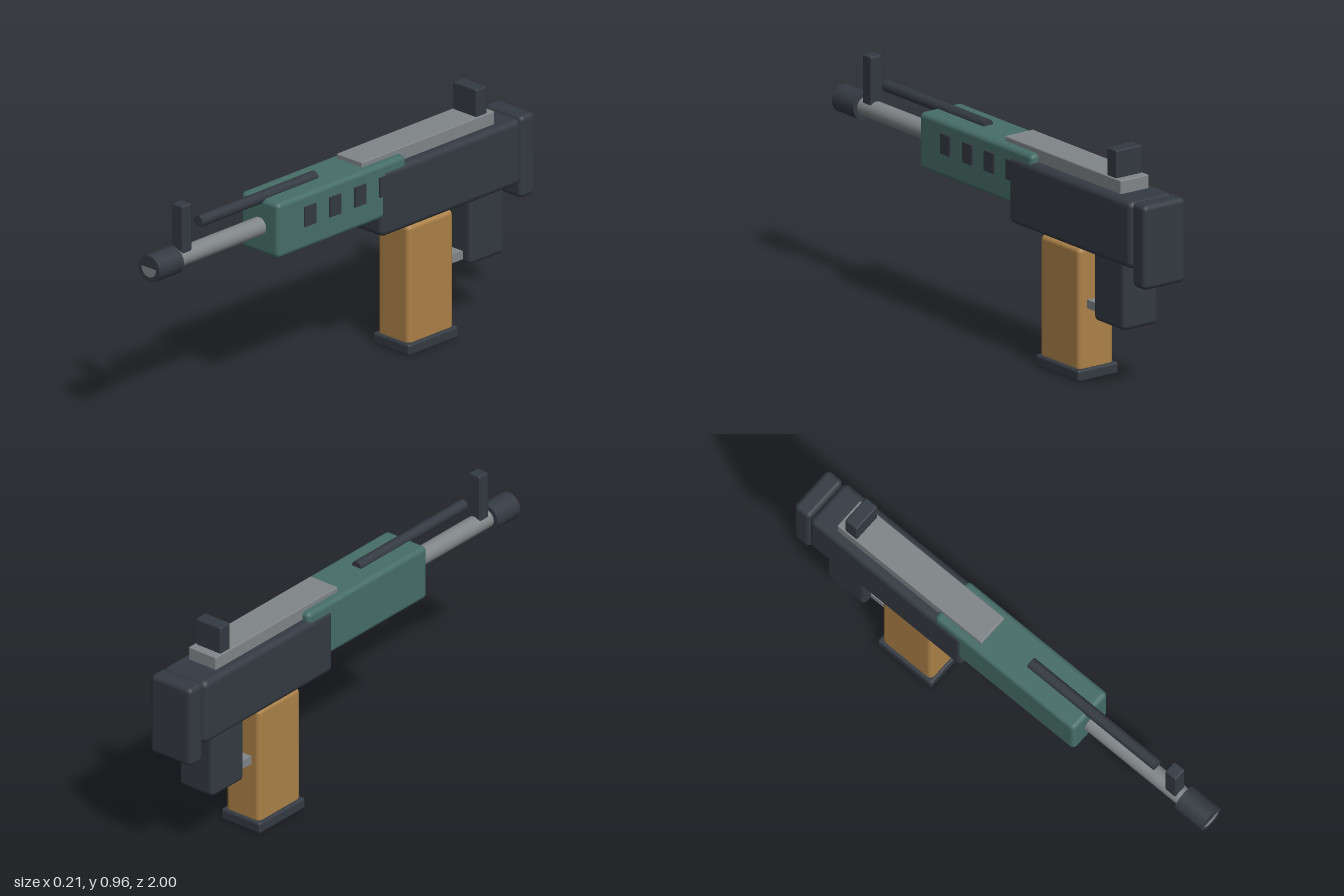
import * as THREE from 'three';
import { RoundedBoxGeometry } from 'three/addons/geometries/RoundedBoxGeometry.js';

function material(name, color) {
  const m = new THREE.MeshStandardMaterial({ color });
  m.name = name;
  return m;
}

export function createModel() {
  const group = new THREE.Group();
  group.name = 'toyRifle';
  const dark = material('charcoal', 0x343a42);
  const teal = material('teal', 0x466d67);
  const tan = material('tan', 0xac8148);
  const grey = material('steel grey', 0x808588);

  const add = (name, geometry, mat, x, y, z) => {
    const mesh = new THREE.Mesh(geometry, mat);
    mesh.name = name;
    mesh.position.set(x, y, z);
    group.add(mesh);
    return mesh;
  };

  // Block centred on x = 0, given by half width and y and z ranges
  const block = (name, mat, half, y0, y1, z0, z1, bevel = 0) => {
    const size = [half * 2, y1 - y0, z1 - z0];
    const geometry = bevel
      ? new RoundedBoxGeometry(...size, 2, bevel)
      : new THREE.BoxGeometry(...size);
    return add(name, geometry, mat, 0, (y0 + y1) / 2, (z0 + z1) / 2);
  };

  // Round bar along z
  const rod = (name, mat, radius, y, z0, z1, sides) => {
    const geometry = new THREE.CylinderGeometry(radius, radius, z1 - z0, sides);
    geometry.rotateX(Math.PI / 2);
    return add(name, geometry, mat, 0, y, (z0 + z1) / 2);
  };

  // Body
  block('receiver', dark, 0.106, 0.53, 0.797, -0.92, -0.16, 0.025);
  block('handguard', teal, 0.1, 0.605, 0.83, -0.3, 0.4, 0.02);
  block('buttPad', dark, 0.1, 0.465, 0.8, -1, -0.92, 0.02);
  block('topCover', grey, 0.067, 0.79, 0.85, -0.81, -0.09, 0.005);

  // Grip, magazine and the bar between them
  block('grip', dark, 0.084, 0.265, 0.56, -0.85, -0.66, 0.02);
  block('magazine', tan, 0.083, 0.03, 0.523, -0.573, -0.327, 0.02);
  block('magazineBase', dark, 0.096, 0, 0.047, -0.585, -0.315, 0.01);
  block('triggerBar', grey, 0.045, 0.283, 0.317, -0.68, -0.56);

  // Barrel group
  rod('barrel', grey, 0.037, 0.716, 0.35, 0.99, 20);
  rod('muzzle', dark, 0.055, 0.716, 0.865, 0.999, 20);
  add('bore', new THREE.CircleGeometry(0.039, 16, Math.PI, Math.PI), grey, 0, 0.722, 1);
  rod('gasRod', dark, 0.023, 0.831, 0.1, 0.73, 10);

  // Sights
  block('frontSight', dark, 0.027, 0.735, 0.932, 0.793, 0.845, 0.006);
  block('rearSight', dark, 0.061, 0.84, 0.96, -0.775, -0.717, 0.006);

  // Vents on the left side only
  for (let i = 0; i < 4; i++) {
    add('vent', new THREE.BoxGeometry(0.009, 0.08, 0.06), dark, 0.1025, 0.74, 0.23 - i * 0.136);
  }
  return group;
}
